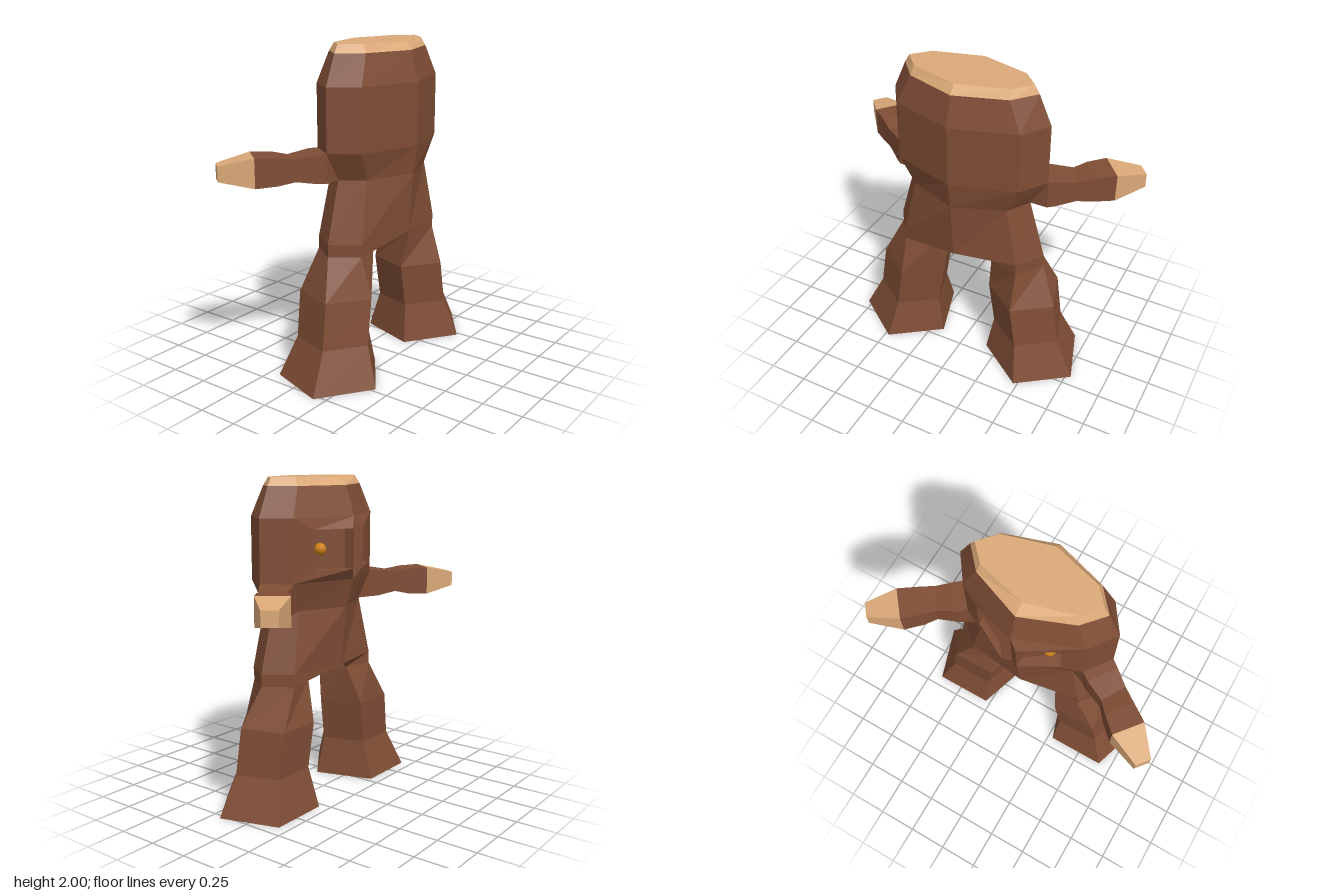
import * as THREE from 'three';

const bark = new THREE.MeshStandardMaterial({ color: 0x7f4d35 });
bark.name = 'bark brown';
const wood = new THREE.MeshStandardMaterial({ color: 0xdba978 });
wood.name = 'cut wood tan';
const amber = new THREE.MeshStandardMaterial({ color: 0xd08010 });
amber.name = 'amber';

// Faceted mesh from polygons (corner loops, counter-clockwise from outside)
function faceted(name, polys, material) {
  const pos = [];
  for (const p of polys) {
    for (let i = 1; i < p.length - 1; i++) pos.push(...p[0], ...p[i], ...p[i + 1]);
  }
  const geo = new THREE.BufferGeometry();
  geo.setAttribute('position', new THREE.Float32BufferAttribute(pos, 3));
  geo.computeVertexNormals();
  const mesh = new THREE.Mesh(geo, material);
  mesh.name = name;
  return mesh;
}

const flip = (polys) => polys.map((p) => p.map(([x, y, z]) => [-x, y, z]).reverse());
const both = (polys) => [...polys, ...flip(polys)];

// Quads joining successive cross-sections
function loft(rings, closed = true) {
  const polys = [];
  for (let r = 0; r < rings.length - 1; r++) {
    const a = rings[r], b = rings[r + 1], n = a.length;
    for (let i = 0; i < (closed ? n : n - 1); i++) {
      const j = (i + 1) % n;
      polys.push([a[i], a[j], b[j], b[i]]);
    }
  }
  return polys;
}

// Left half of a trunk section, running from front centre to back centre
const section = (y, front, cx, cz, side, bz, back) =>
  [[0, y, front], [cx, y, cz], [side, y, 0.08], [cx, y, bz], [0, y, back]];

export function createModel() {
  const group = new THREE.Group();
  group.name = 'stumpCreature';

  const hip = section(0.845, 0.315, 0.39, 0.245, 0.505, -0.08, -0.145);
  const waist = section(1.215, 0.34, 0.31, 0.22, 0.4, -0.05, -0.175);
  const jaw = section(1.39, 0.365, 0.39, 0.245, 0.505, -0.08, -0.225);
  const brow = section(1.77, 0.365, 0.39, 0.245, 0.505, -0.08, -0.23);
  const crown = section(1.95, 0.315, 0.31, 0.215, 0.425, -0.05, -0.17);
  const top = section(2.0, 0.27, 0.3, 0.185, 0.395, -0.02, -0.1);

  // Trunk, leaving the face open between jaw and brow
  group.add(faceted('trunk', both([
    ...loft([hip, waist, jaw], false),
    ...loft([jaw.slice(0, 4), brow.slice(0, 4)], false),
    ...loft([brow, crown], false),
  ]), bark));

  // Face with a sunken socket on each side of the nose ridge
  const faceEdge = [jaw[3], jaw[4], brow[4], brow[3]];
  const rim = [[0.27, 1.46, -0.14], [0.05, 1.46, -0.26], [0.05, 1.7, -0.26], [0.27, 1.7, -0.14]];
  const floor = [[0.26, 1.46, -0.05], [0.05, 1.46, -0.2], [0.05, 1.7, -0.2], [0.26, 1.7, -0.05]];
  group.add(faceted('faceAndSockets', both([...loft([faceEdge, rim, floor]), floor]), bark));

  // Cut top
  group.add(faceted('cutTop', both([...loft([crown, top], false), top]), wood));

  // Pelvis, stepping down from the trunk to the leg tops
  const legTop = [[0.39, 0.77, 0.24], [0.505, 0.77, 0.08], [0.39, 0.77, -0.08],
    [0.2, 0.77, -0.035], [0.2, 0.77, 0.19]];
  const [a, o, b, bi, fi] = legTop;
  group.add(faceted('pelvis', both(loft([[fi, a, o, b, bi], hip], false)), bark));
  group.add(faceted('crotch', both([[hip[0], hip[4], bi, fi]]), wood));

  // Five-sided legs
  const pentagon = (y, cx, cz, r) => Array.from({ length: 5 }, (_, i) => {
    const t = i * Math.PI * 2 / 5;
    return [cx + r * Math.sin(t), y, cz + r * Math.cos(t)];
  });
  const foot = pentagon(0, 0.475, 0.08, 0.325);
  const leg = loft([foot, pentagon(0.245, 0.435, 0.083, 0.237),
    pentagon(0.525, 0.392, 0.075, 0.238), legTop]);
  const sole = [[...foot].reverse()];

  // Four-sided arms: [front x, front z, back x, back z, height]
  const arm = [
    [0.4, 0.08, 0.31, -0.05, 0.175],
    [0.505, 0.08, 0.39, -0.08, 0.175],
    [0.55, 0.045, 0.44, -0.115, 0.17],
    [0.645, -0.03, 0.56, -0.17, 0.13],
    [0.73, -0.095, 0.62, -0.24, 0.165],
    [0.835, -0.17, 0.71, -0.325, 0.175],
    [0.965, -0.33, 0.905, -0.405, 0.09],
  ].map(([fx, fz, bx, bz, h]) => {
    const lo = 1.303 - h / 2, hi = 1.303 + h / 2;
    return [[fx, lo, fz], [bx, lo, bz], [bx, hi, bz], [fx, hi, fz]];
  });
  const armPolys = loft(arm.slice(0, 6));
  const handPolys = [...loft(arm.slice(5)), arm[6]];

  for (const [side, s] of [['left', 1], ['right', -1]]) {
    const put = (polys) => (s > 0 ? polys : flip(polys));
    group.add(
      faceted(side + 'Leg', put(leg), bark),
      faceted(side + 'Sole', put(sole), wood),
      faceted(side + 'Arm', put(armPolys), bark),
      faceted(side + 'Hand', put(handPolys), wood),
    );
    // Eye
    const eye = new THREE.Mesh(new THREE.IcosahedronGeometry(0.038, 1), amber);
    eye.name = side + 'Eye';
    eye.position.set(s * 0.187, 1.58, -0.118);
    group.add(eye);
  }
  return group;
}
